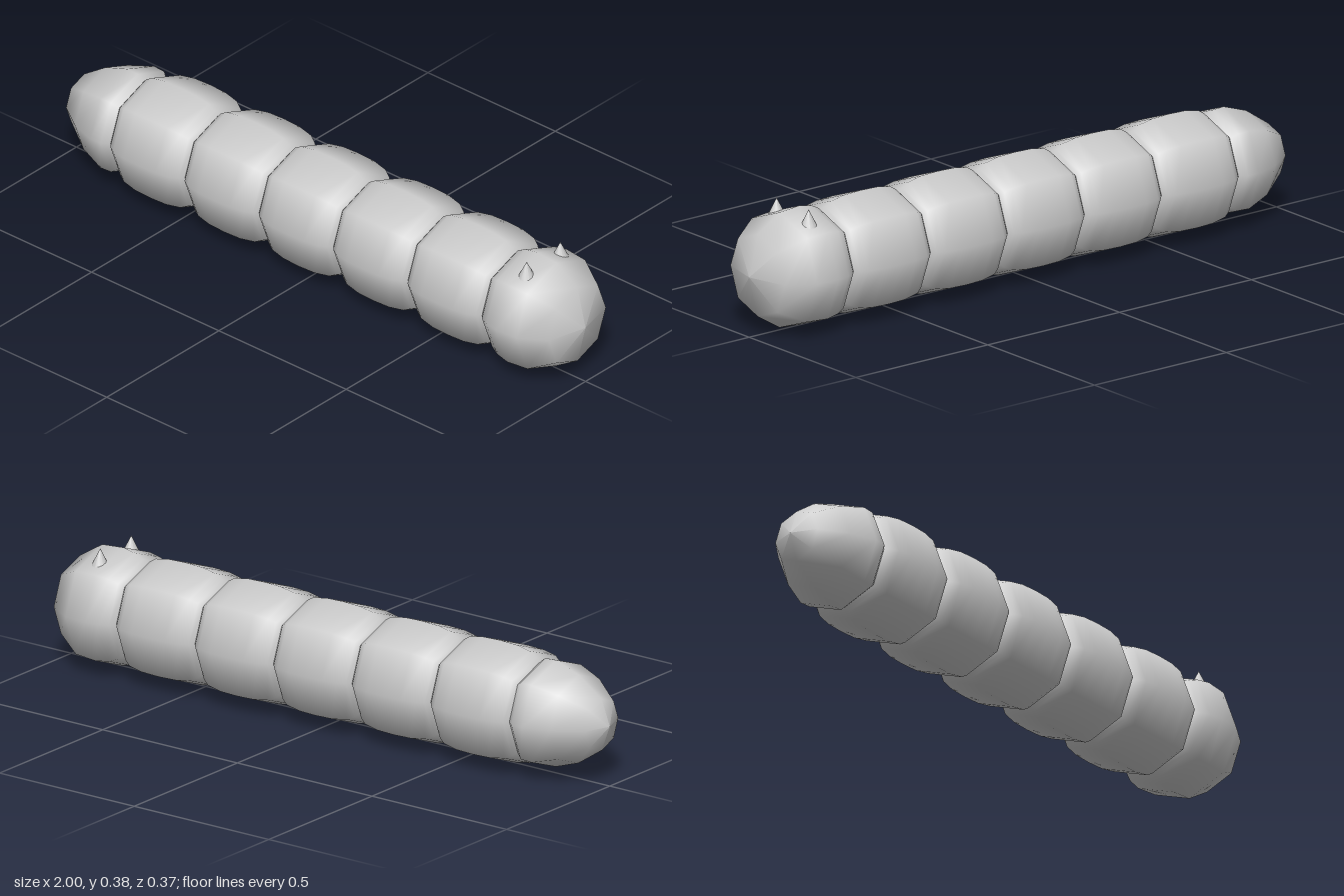
import * as THREE from 'three';

const AXIS_Y = 0.188;   // height of the body axis
const START = -0.738;   // where the tail meets the first body segment
const PITCH = 0.292;    // length of a body segment

export function createModel() {
  const group = new THREE.Group();
  const material = new THREE.MeshStandardMaterial({ color: 0xcccccc, side: THREE.DoubleSide });

  // Eight-sided ring section turned around the x axis; profile holds [x, radius]
  function addSection(name, profile, x = 0) {
    const points = profile.map(([px, r]) => new THREE.Vector2(r, px));
    const geometry = new THREE.LatheGeometry(points, 8);
    // Diagonal corners sit slightly further out than the upright ones
    const p = geometry.attributes.position;
    for (let i = 0; i < p.count; i++) {
      if (Math.floor(i / points.length) % 2) {
        p.setX(i, p.getX(i) * 1.025);
        p.setZ(i, p.getZ(i) * 1.025);
      }
    }
    geometry.rotateZ(-Math.PI / 2);
    const mesh = new THREE.Mesh(geometry, material);
    mesh.name = name;
    mesh.position.set(x, AXIS_Y, 0);
    group.add(mesh);
  }

  // Pointed tail
  addSection('tail', [
    [-1, 0], [-0.97, 0.08], [-0.885, 0.137], [-0.8, 0.166], [-0.76, 0.164], [START, 0.145],
  ]);

  // Five rounded body segments
  const body = [
    [0, 0.145], [0.012, 0.16], [0.035, 0.174], [0.085, 0.183], [0.146, 0.185],
    [0.207, 0.183], [0.257, 0.174], [0.28, 0.16], [PITCH, 0.145],
  ];
  for (let i = 0; i < 5; i++) addSection(`bodySegment${i + 1}`, body, START + i * PITCH);

  // Blunt head
  addSection('head', [
    [START + 5 * PITCH, 0.145], [0.736, 0.162], [0.765, 0.176], [0.81, 0.184],
    [0.885, 0.178], [0.968, 0.127], [1, 0],
  ]);

  // Pair of small horns on the head
  for (const side of [1, -1]) {
    const horn = new THREE.Mesh(new THREE.ConeGeometry(0.032, 0.064, 12), material);
    horn.name = side > 0 ? 'frontHorn' : 'backHorn';
    horn.position.set(0.835, 0.352, side * 0.075);
    group.add(horn);
  }
  return group;
}
